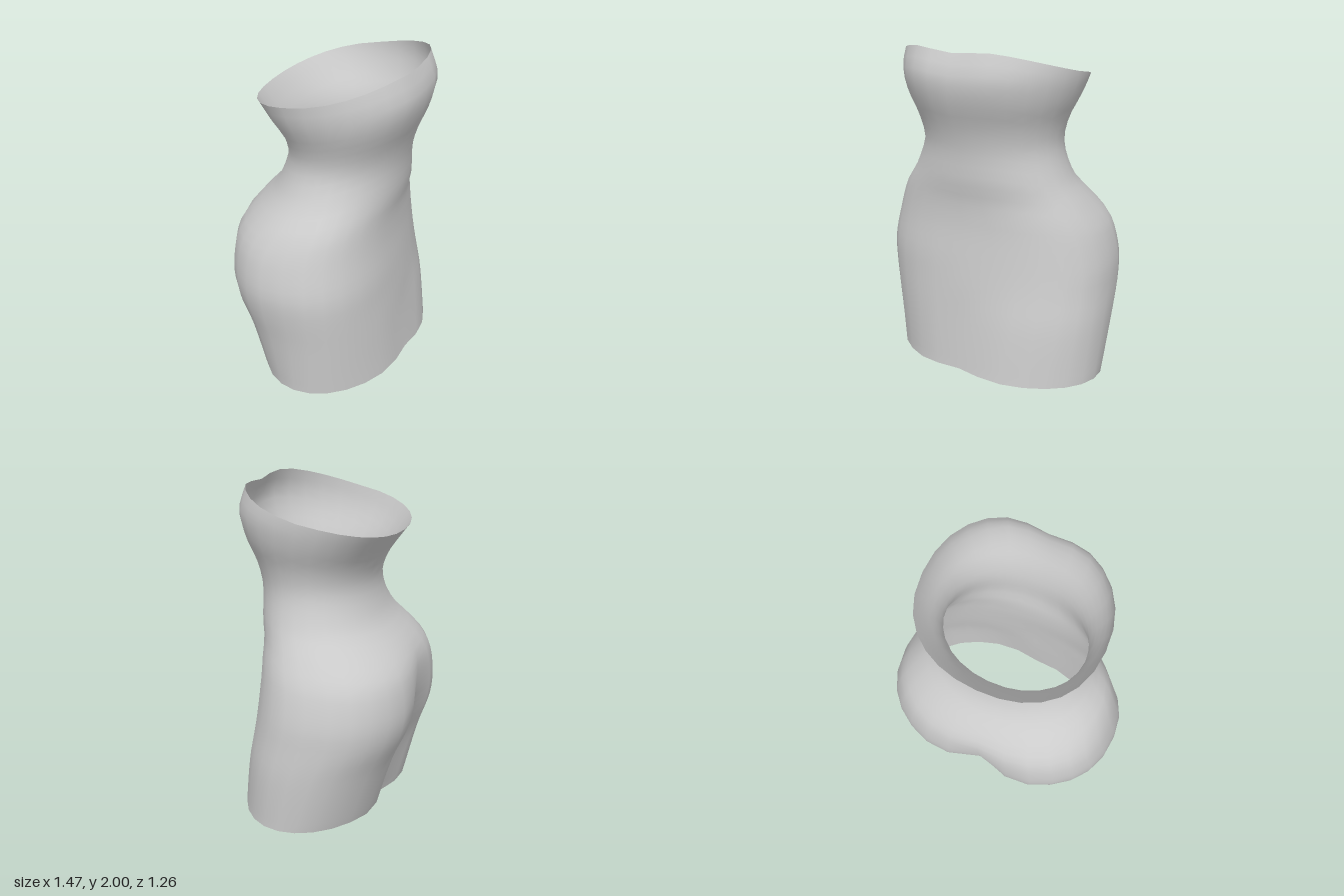
import * as THREE from 'three';

const SEGMENTS = 28, ROWS = 32;

// Cross-sections: height, half width, front reach, back reach, centre depth,
// squareness, back crease, front dip, sideways shift, turn in degrees
const LEVELS = [
  [0.00, 0.715, 0.56, -0.36, 0.10, 2.0, 0.08, 0.03, 0.018, 28],
  [0.35, 0.738, 0.52, -0.455, 0.06, 2.2, 0.11, 0.02, 0.00, 31],
  [0.55, 0.748, 0.49, -0.53, 0.02, 2.3, 0.11, 0.00, -0.02, 33],
  [0.70, 0.747, 0.475, -0.548, 0.00, 2.3, 0.08, 0.00, -0.03, 34],
  [0.90, 0.70, 0.455, -0.52, 0.00, 2.3, 0.035, 0.00, -0.035, 33],
  [1.00, 0.655, 0.453, -0.465, 0.035, 2.25, 0.01, 0.00, -0.042, 32],
  [1.10, 0.598, 0.457, -0.375, 0.075, 2.15, 0.00, 0.00, -0.045, 32],
  [1.20, 0.525, 0.475, -0.29, 0.11, 2.1, 0.00, 0.00, -0.03, 31],
  [1.40, 0.45, 0.485, -0.225, 0.13, 2.05, 0.00, 0.00, -0.015, 31],
  [1.55, 0.47, 0.52, -0.255, 0.13, 2.1, 0.00, 0.00, -0.018, 31],
  [1.70, 0.53, 0.585, -0.355, 0.11, 2.15, 0.00, 0.01, -0.02, 31],
  [1.85, 0.56, 0.622, -0.465, 0.08, 2.15, 0.00, 0.03, -0.02, 32],
  [2.00, 0.54, 0.57, -0.47, 0.08, 2.2, 0.00, 0.04, -0.02, 31],
];

// Smooth interpolation between cross-sections at height y
function sectionAt(y) {
  let i = 0;
  while (i < LEVELS.length - 2 && y > LEVELS[i + 1][0]) i++;
  const a = LEVELS[i], b = LEVELS[i + 1];
  const p = LEVELS[Math.max(i - 1, 0)], n = LEVELS[Math.min(i + 2, LEVELS.length - 1)];
  const h = b[0] - a[0], t = THREE.MathUtils.clamp((y - a[0]) / h, 0, 1);
  const t2 = t * t, t3 = t2 * t;
  return a.map((v, k) => {
    const m0 = (b[k] - p[k]) / (b[0] - p[0]) * h;
    const m1 = (n[k] - v) / (n[0] - a[0]) * h;
    return (2 * t3 - 3 * t2 + 1) * v + (t3 - 2 * t2 + t) * m0 + (3 * t2 - 2 * t3) * b[k] + (t3 - t2) * m1;
  });
}

const bell = (x, width) => Math.exp(-((x / width) ** 2));
const power = (x, e) => Math.sign(x) * Math.abs(x) ** e;

function surfacePoint(angle, t) {
  const s = Math.sin(angle), c = Math.cos(angle);
  // wavy neckline, high over the chest and low at the back; slightly lifted hem
  const rim = 1.865 + (c > 0 ? 0.153 : 0.118) * c - (c > 0 ? 0.038 * bell(s, 0.3) : 0);
  const hem = (c > 0 ? 0.022 : 0.012) * bell(s, 0.35);
  const y = hem + (rim - hem) * t;

  const [, w, front, back, mid, n, crease, dip, shift, degrees] = sectionAt(y);
  const turn = THREE.MathUtils.degToRad(degrees);
  const across = w * power(s, 2 / n);
  const reach = c > 0 ? front - mid : mid - back;
  let depth = mid + reach * power(c, 2 / n);
  if (c < 0) depth += crease * bell(across, 0.17);
  else depth -= dip * bell(across, 0.16);

  const u = across + shift;
  return [
    u * Math.cos(turn) + depth * Math.sin(turn),
    y,
    -u * Math.sin(turn) + depth * Math.cos(turn),
  ];
}

export function createModel() {
  const positions = [], indices = [];
  for (let r = 0; r <= ROWS; r++) {
    for (let s = 0; s < SEGMENTS; s++) {
      positions.push(...surfacePoint((s / SEGMENTS) * Math.PI * 2, r / ROWS));
    }
  }
  // Closed loops joined row by row, open at the neckline and hem
  for (let r = 0; r < ROWS; r++) {
    for (let s = 0; s < SEGMENTS; s++) {
      const next = (s + 1) % SEGMENTS;
      const a = r * SEGMENTS + s, b = r * SEGMENTS + next;
      indices.push(a, b, b + SEGMENTS, a, b + SEGMENTS, a + SEGMENTS);
    }
  }
  const geometry = new THREE.BufferGeometry();
  geometry.setAttribute('position', new THREE.Float32BufferAttribute(positions, 3));
  geometry.setIndex(indices);
  geometry.computeVertexNormals();

  const fabric = new THREE.MeshStandardMaterial({ color: 0xcccccc, side: THREE.DoubleSide });
  fabric.name = 'light grey fabric';
  const dress = new THREE.Mesh(geometry, fabric);
  dress.name = 'straplessDress';

  const group = new THREE.Group();
  group.name = 'dress';
  group.add(dress);
  return group;
}
